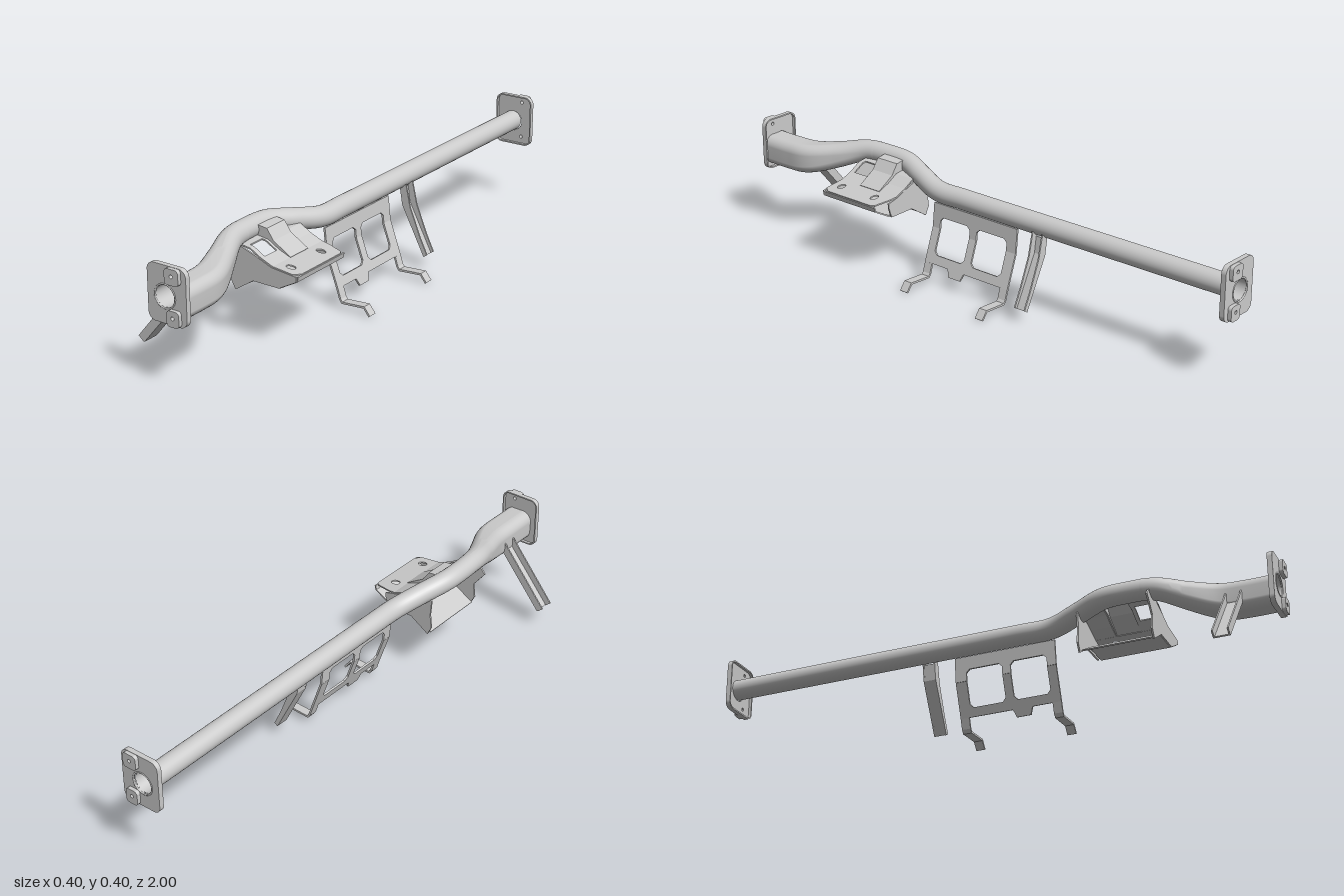
import * as THREE from 'three';

const material = new THREE.MeshStandardMaterial({ color: 0xcccccc, side: THREE.DoubleSide });
const V2 = (p) => new THREE.Vector2(p[0], p[1]);

function add(parent, name, geometry) {
  const mesh = new THREE.Mesh(geometry, material);
  mesh.name = name;
  parent.add(mesh);
  return mesh;
}

function polygon(points) {
  return new THREE.Shape(points.map(V2));
}

function roundedRect(x0, y0, x1, y1, r) {
  const s = new THREE.Shape();
  s.absarc(x1 - r, y1 - r, r, 0, Math.PI / 2);
  s.absarc(x0 + r, y1 - r, r, Math.PI / 2, Math.PI);
  s.absarc(x0 + r, y0 + r, r, Math.PI, Math.PI * 1.5);
  s.absarc(x1 - r, y0 + r, r, Math.PI * 1.5, Math.PI * 2);
  s.closePath();
  return s;
}

function hole(x, y, r) {
  return new THREE.Path().absarc(x, y, r, 0, Math.PI * 2, true);
}

// An xy outline given thickness between two z positions
function slab(shape, za, zb, curveSegments = 12) {
  const g = new THREE.ExtrudeGeometry(shape, { depth: Math.abs(zb - za), bevelEnabled: false, curveSegments });
  return g.translate(0, 0, Math.min(za, zb));
}

// Sheet metal folded along an xy path, running from z0 to z1
function ribbon(path, z0, z1, t = 0.007) {
  const pts = path.map(V2);
  const normal = (a, b) => new THREE.Vector2(a.y - b.y, b.x - a.x).normalize();
  const side = (sign) => pts.map((p, i) => {
    const n0 = normal(pts[Math.max(i - 1, 0)], pts[Math.max(i, 1)]);
    const last = pts.length - 1;
    const n1 = normal(pts[Math.min(i, last - 1)], pts[Math.min(i + 1, last)]);
    const m = n0.clone().add(n1).normalize();
    return p.clone().addScaledVector(m, sign * t / 2 / m.dot(n0));
  });
  return slab(new THREE.Shape([...side(1), ...side(-1).reverse()]), z0, z1);
}

// Flat sheet whose outline is (z, y), leaning along the xy line from a (bottom) to b (top)
function leaningSheet(outline, a, b, t = 0.007) {
  const d = new THREE.Vector3(b[0] - a[0], b[1] - a[1], 0);
  const k = d.length() / d.y;
  d.normalize();
  const g = slab(polygon(outline.map(([z, y]) => [z, (y - a[1]) * k])), -t / 2, t / 2);
  const m = new THREE.Matrix4().makeBasis(new THREE.Vector3(0, 0, 1), d, new THREE.Vector3(-d.y, d.x, 0));
  m.setPosition(a[0], a[1], 0);
  return g.applyMatrix4(m);
}

// Channel leg: two side flanges joined by a web
function channelLeg(name, flange, web, z0, z1) {
  const g = new THREE.Group();
  g.name = name;
  const t = 0.005;
  add(g, 'flangeBack', slab(polygon(flange), z0, z0 + t));
  add(g, 'flangeFront', slab(polygon(flange), z1 - t, z1));
  add(g, 'web', ribbon(web, z0, z1, t));
  return g;
}

// End plate with turned rim, tube opening and two raised bolt pads
function endPlate(name, s) {
  const g = new THREE.Group();
  g.name = name;
  const outline = () => roundedRect(-0.055, 0.218, 0.09, 0.402, 0.026);
  const bolts = [0.378, 0.247];
  const face = outline();
  face.holes.push(hole(0.01, 0.304, 0.037), ...bolts.map((y) => hole(0.046, y, 0.006)));
  add(g, 'plateFace', slab(face, s * 0.98, s * 0.987, 24));
  const rim = outline();
  rim.holes.push(roundedRect(-0.05, 0.223, 0.085, 0.397, 0.021));
  add(g, 'plateRim', slab(rim, s * 0.97, s * 0.98));
  const collar = add(g, 'openingCollar', new THREE.TorusGeometry(0.038, 0.003, 8, 40));
  collar.position.set(0.01, 0.304, s * 0.986);
  bolts.forEach((y, i) => {
    const pad = i ? roundedRect(0.024, 0.219, 0.07, 0.27, 0.012) : roundedRect(0.02, 0.35, 0.072, 0.401, 0.012);
    pad.holes.push(hole(0.046, y, 0.006));
    add(g, 'boltPad', slab(pad, s * 0.987, s));
  });
  return g;
}

// Stamped tray hung from the bend in the tube
function supportTray() {
  const g = new THREE.Group();
  g.name = 'supportTray';
  add(g, 'lowerSheet', ribbon(
    [[-0.055, 0.173], [0.02, 0.216], [0.118, 0.215], [0.182, 0.25], [0.186, 0.266]], 0.345, 0.585, 0.005));
  const flange = [[-0.105, 0.306], [-0.087, 0.327], [-0.03, 0.32], [0.03, 0.3], [0.09, 0.276], [0.184, 0.266],
    [0.184, 0.25], [0.118, 0.214], [0.02, 0.215], [-0.05, 0.17], [-0.066, 0.2], [-0.06, 0.25]];
  add(g, 'frontFlange', slab(polygon(flange), 0.584, 0.59));
  const rear = flange.map(([x, y]) => (x < -0.08 ? [x + 0.04, y] : [Math.min(x, 0.13), y]));
  add(g, 'rearFlange', slab(polygon(rear), 0.332, 0.338));

  // Sloping top with a raised middle and a window beside it
  const low = [[-0.045, 0.325], [0.01, 0.318], [0.05, 0.295], [0.095, 0.277]];
  const high = [[-0.05, 0.36], [0.005, 0.353], [0.03, 0.318], [0.095, 0.279]];
  add(g, 'rearSlope', ribbon(low, 0.333, 0.41, 0.005));
  add(g, 'raisedMiddle', ribbon(high, 0.41, 0.5, 0.005));
  const wall = polygon([...high, ...low.slice().reverse()]);
  for (const z of [0.41, 0.496]) add(g, 'raisedWall', slab(wall, z, z + 0.004));
  add(g, 'windowRailFront', ribbon(low, 0.57, 0.588, 0.005));
  add(g, 'windowRailRear', ribbon(low, 0.5, 0.51, 0.005));
  add(g, 'windowOuterEdge', ribbon(low.slice(2), 0.51, 0.57, 0.005));
  add(g, 'windowInnerEdge', ribbon([[-0.045, 0.325], [-0.005, 0.32]], 0.51, 0.57, 0.005));

  // Level outer shelf with bolt holes, outlined in (x, z)
  const shelf = polygon([[0.093, 0.334], [0.12, 0.336], [0.18, 0.352], [0.187, 0.365],
    [0.187, 0.565], [0.17, 0.588], [0.093, 0.588]]);
  for (const z of [0.395, 0.55]) {
    const slot = new THREE.Path();
    slot.absellipse(0.135, z, 0.017, 0.012, 0, Math.PI * 2, true);
    shelf.holes.push(slot);
  }
  const top = add(g, 'outerShelf', slab(shelf, 0, 0.005).translate(-0.093, 0, 0).rotateX(Math.PI / 2));
  top.position.set(0.093, 0.28, 0);
  top.rotation.z = -0.11;
  return g;
}

// Windowed hanger with two bent feet
function windowHanger() {
  const g = new THREE.Group();
  g.name = 'windowHanger';
  const fold = [0.031, 0.185], foot = [0.072, 0.07];
  const windows = [[0.19, 0.06], [0.03, -0.1]];
  const notches = (end, r) => windows.flatMap(([a, b]) => [
    [a, fold[1]], [a, end - r], [a - Math.abs(r), end], [b + Math.abs(r), end], [b, end - r], [b, fold[1]]]);
  add(g, 'upperSheet', leaningSheet(
    [[-0.14, fold[1]], [-0.14, 0.27], [0.222, 0.27], [0.222, fold[1]], ...notches(0.225, 0.012)],
    fold, [0.022, 0.27]));
  add(g, 'lowerSheet', leaningSheet(
    [[-0.14, fold[1]], [-0.14, 0.07], [0.05, 0.07], [0.06, 0.045], [0.11, 0.045], [0.12, 0.07],
      [0.222, 0.07], [0.222, fold[1]], ...notches(0.1, -0.012)], foot, fold));
  const footPath = [foot, [0.083, 0.036], [0.091, 0.026], [0.176, 0.031], [0.197, 0.004]];
  for (const z of [-0.14, 0.191]) add(g, 'foot', ribbon(footPath, z, z + 0.031));
  return g;
}

export function createModel() {
  const model = new THREE.Group();
  model.name = 'crossBeam';

  // Main tube with an offset bend
  const curve = new THREE.CatmullRomCurve3([
    [0.008, 0.305, -0.982], [0.008, 0.305, -0.4], [0.008, 0.305, 0.1], [0.006, 0.306, 0.22],
    [-0.025, 0.325, 0.325], [-0.056, 0.342, 0.42], [-0.06, 0.345, 0.5], [-0.052, 0.343, 0.6],
    [-0.022, 0.322, 0.7], [0.006, 0.307, 0.8], [0.01, 0.304, 0.88], [0.01, 0.304, 0.982],
  ].map((p) => new THREE.Vector3(...p)), false, 'centripetal');
  add(model, 'mainTube', new THREE.TubeGeometry(curve, 160, 0.0355, 32));

  // Reinforcing sleeve that widens outward and down toward the front plate
  const start = 0.78, rings = 40, sides = 32;
  const part = new THREE.CatmullRomCurve3(
    Array.from({ length: 17 }, (_, i) => curve.getPointAt(start + (1 - start) * i / 16)));
  const sleeve = new THREE.TubeGeometry(part, rings, 0.0362, sides);
  const pos = sleeve.attributes.position;
  for (let i = 0; i < pos.count; i++) {
    const c = part.getPointAt(Math.floor(i / (sides + 1)) / rings);
    const e = 0.036 * THREE.MathUtils.smoothstep(c.z, 0.57, 0.85);
    if (pos.getX(i) > c.x + 0.001) pos.setX(i, pos.getX(i) + e);
    if (pos.getY(i) < c.y - 0.001) pos.setY(i, pos.getY(i) - e);
  }
  sleeve.computeVertexNormals();
  add(model, 'frontSleeve', sleeve);

  model.add(endPlate('frontPlate', 1), endPlate('rearPlate', -1));
  model.add(supportTray(), windowHanger());

  model.add(channelLeg('frontLeg',
    [[-0.2, 0.083], [-0.18, 0.067], [-0.02, 0.256], [-0.02, 0.3]],
    [[-0.179, 0.069], [-0.02, 0.258]], 0.82, 0.875));
  model.add(channelLeg('rearLeg',
    [[0.118, 0.044], [0.131, 0.053], [0.103, 0.11], [0.062, 0.21], [0.044, 0.29], [0.02, 0.275], [0.03, 0.215]],
    [[0.12, 0.046], [0.033, 0.214], [0.025, 0.27]], -0.261, -0.216));
  return model;
}
